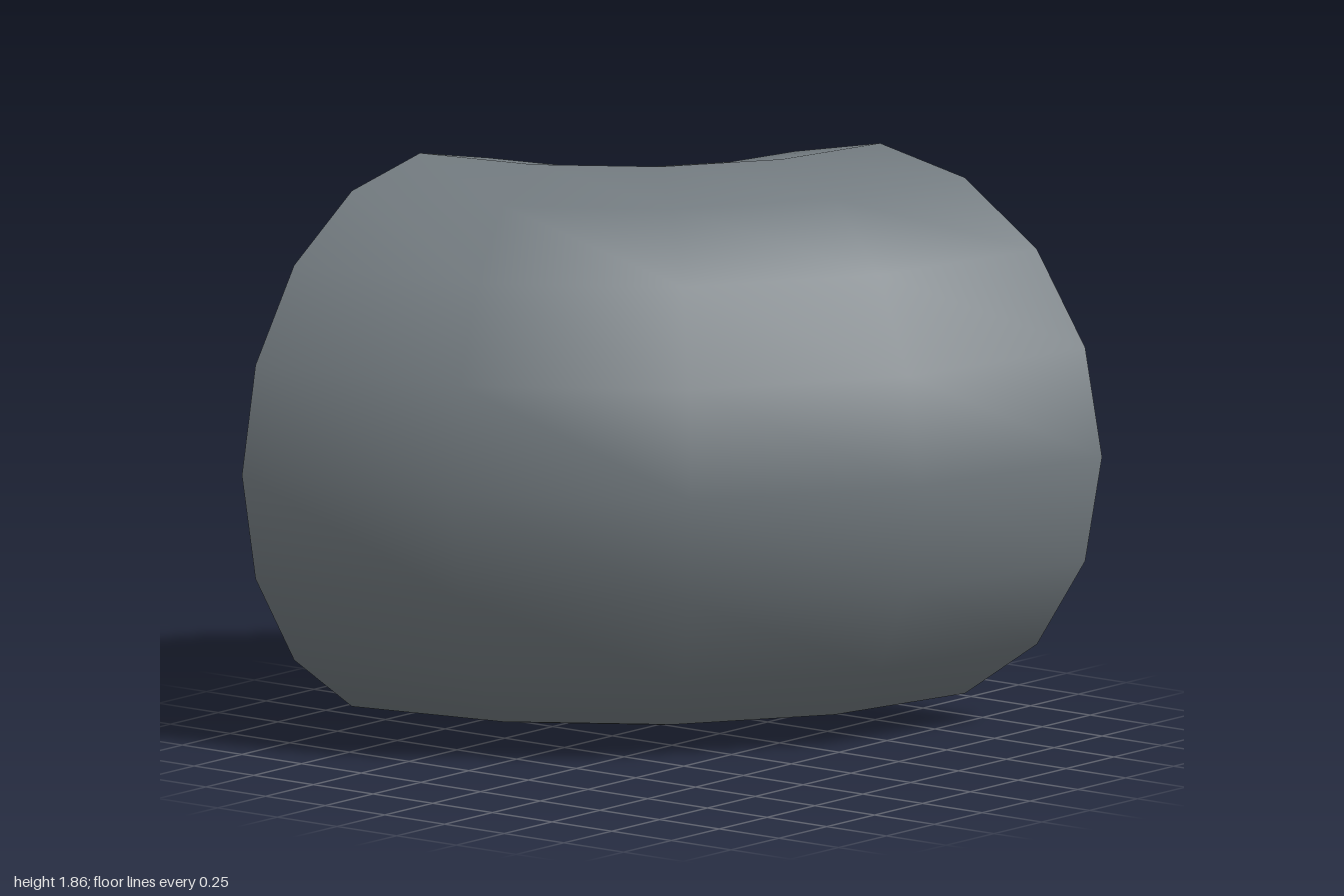
import * as THREE from 'three';
import { toCreasedNormals } from 'three/addons/utils/BufferGeometryUtils.js';

const SIDES = 16;      // sides round the pipe
const BEND = 1.07;     // radius of the bend's centre line, turning about x = 1, z = -1
const OUTER = 0.93;    // outer pipe radius, also the height of the centre line
const BORE = 0.795;    // inner pipe radius

// Quarter-turn skin through a loop of sections; section(i, j) gives centre and radial half-width
function bentSkin(steps, height, section, inward) {
  const positions = [];
  const index = [];
  for (let i = 0; i <= steps; i++) {
    const turn = (i / steps) * Math.PI / 2;
    for (let j = 0; j < SIDES; j++) {
      const a = (j / SIDES) * Math.PI * 2;
      const { centre, width, scale = 1 } = section(i, j);
      const r = (centre + width * Math.cos(a)) * scale;
      positions.push(1 - r * Math.cos(turn), OUTER + height * Math.sin(a), -1 + r * Math.sin(turn));
    }
  }
  for (let i = 0; i < steps; i++) {
    for (let j = 0; j < SIDES; j++) {
      const k = (j + 1) % SIDES;
      const a = i * SIDES + j, b = a + SIDES;
      const c = (i + 1) * SIDES + k, d = i * SIDES + k;
      // the bore's diagonals mirror between its upper and lower halves
      if (!inward) index.push(a, b, d, b, c, d);
      else if (j < SIDES / 2) index.push(a, c, b, a, d, c);
      else index.push(a, d, b, b, d, c);
    }
  }
  const geometry = new THREE.BufferGeometry();
  geometry.setAttribute('position', new THREE.Float32BufferAttribute(positions, 3));
  geometry.setIndex(index);
  geometry.computeVertexNormals();
  return geometry;
}

export function createModel() {
  const group = new THREE.Group();
  group.name = 'pipeElbow';
  const material = new THREE.MeshStandardMaterial({ color: 0x737b80 });
  const add = (name, geometry) => {
    const mesh = new THREE.Mesh(geometry, material);
    mesh.name = name;
    group.add(mesh);
    return mesh;
  };

  // Outer wall in four steps; the tight inside of the bend has only two straight runs
  add('outerWall', bentSkin(4, OUTER, (i, j) => ({
    centre: BEND,
    width: OUTER,
    scale: j === SIDES / 2 && i % 2 ? Math.cos(Math.PI / 8) : 1,
  }), false));

  // Bore in two steps, narrower across the middle
  const bore = bentSkin(2, BORE, (i) => (
    i === 1 ? { centre: 1.025, width: 0.655 } : { centre: BEND, width: BORE }
  ), true);
  add('bore', toCreasedNormals(bore, 0.52));

  // Flat rims closing the wall at both openings
  const rim = new THREE.RingGeometry(BORE, OUTER, SIDES);
  const sideRim = add('sideRim', rim);
  sideRim.position.set(1, OUTER, BEND - 1);
  sideRim.rotation.y = Math.PI / 2;
  const backRim = add('backRim', rim);
  backRim.position.set(1 - BEND, OUTER, -1);
  backRim.rotation.y = Math.PI;

  return group;
}
